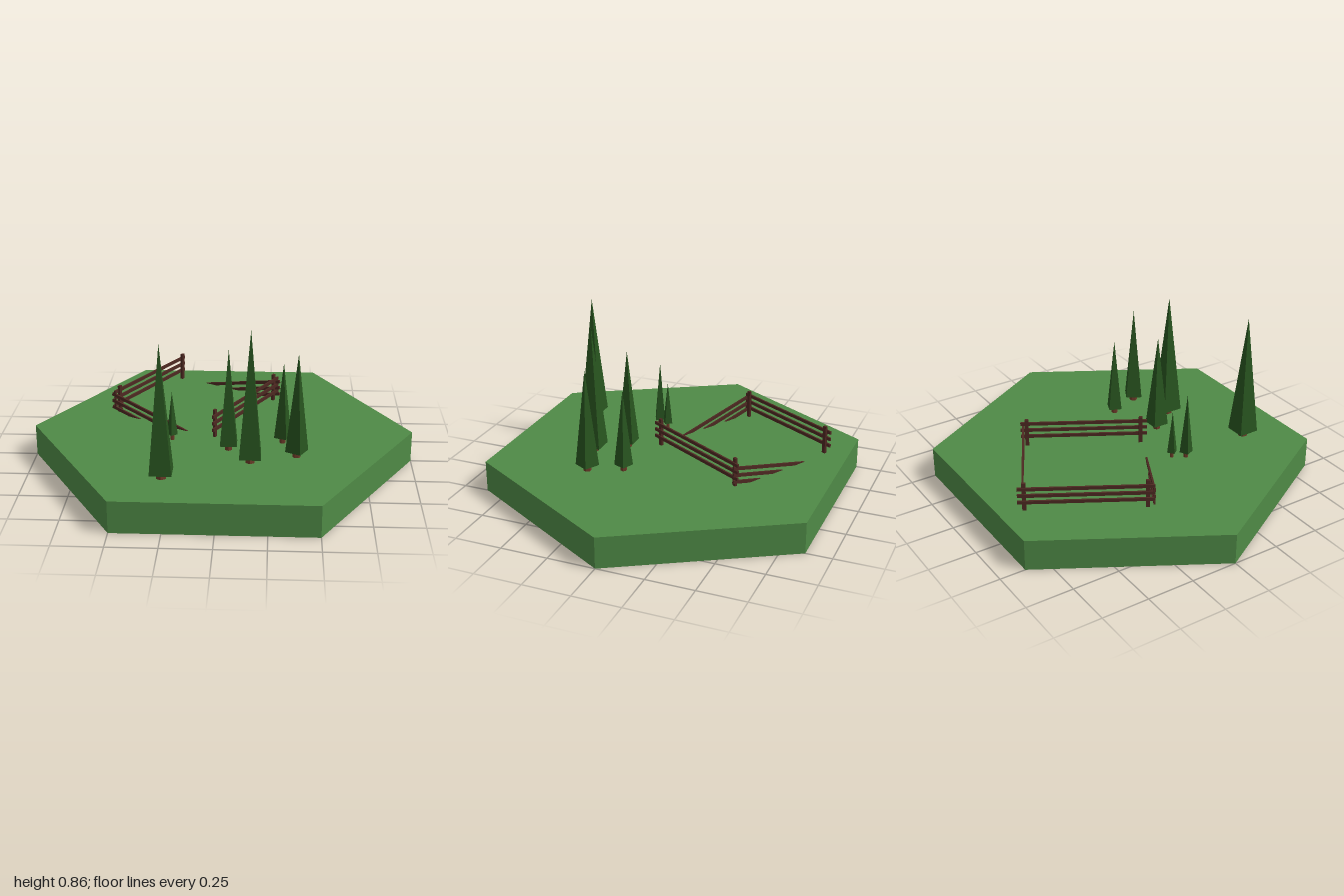
import * as THREE from 'three';

const GROUND = 0.165;
const mat = (color) => new THREE.MeshStandardMaterial({ color, flatShading: true });
const grass = mat(0x4f8a46), leaf = mat(0x28541f), bark = mat(0x6b3a28), wood = mat(0x4d2821);

function add(parent, name, geometry, material, x = 0, y = 0, z = 0) {
  const mesh = new THREE.Mesh(geometry, material);
  mesh.name = name;
  mesh.position.set(x, y, z);
  parent.add(mesh);
  return mesh;
}

// Four-sided conifer; half is half the width of the foliage base
function makeTree(x, z, top, half, turn) {
  const tree = new THREE.Group();
  tree.name = 'tree';
  const base = GROUND + 0.032, h = top - base;
  const foliage = new THREE.ConeGeometry(half * Math.SQRT2, h, 4).rotateY(Math.PI / 4);
  add(tree, 'foliage', foliage, leaf, 0, base + h / 2, 0);
  const trunk = new THREE.CylinderGeometry(half * 0.45, half * 0.5, 0.045, 6);
  add(tree, 'trunk', trunk, bark, 0, GROUND + 0.015, 0);
  tree.position.set(x, 0, z);
  tree.rotation.y = turn;
  return tree;
}

// One fence run of three rails along local x, starting at (x0, z0)
function makeRun(name, [x0, z0], [x1, z1], heights, tilt, length) {
  const run = new THREE.Group();
  run.name = name;
  for (const y of heights) {
    const rail = add(run, 'rail', new THREE.BoxGeometry(length, 0.017, 0.01).translate(length / 2, 0, 0), wood, 0, y, 0);
    rail.rotation.z = -tilt;
  }
  run.position.set(x0, 0, z0);
  run.rotation.y = -Math.atan2(z1 - z0, x1 - x0);
  return run;
}

// Standing run with two posts on its side facing the paddock
function makeStanding(a, b, side) {
  const length = Math.hypot(b[0] - a[0], b[1] - a[1]);
  const run = makeRun('standingFence', a, b, [0.213, 0.25, 0.287], 0, length);
  for (const d of [0.033, length - 0.035]) {
    add(run, 'post', new THREE.BoxGeometry(0.02, 0.16, 0.014), wood, d, 0.237, side * 0.009);
  }
  return run;
}

export function createModel() {
  const model = new THREE.Group();
  model.name = 'hexTile';

  // Hexagonal ground with corners on the x axis
  add(model, 'ground', new THREE.CylinderGeometry(1, 1, GROUND, 6).rotateY(Math.PI / 6), grass, 0, GROUND / 2, 0);

  // Trees: x, z, top, half width, turn
  const trees = [
    [-0.27, 0.605, 0.85, 0.055, 0],
    [0.155, 0.405, 0.857, 0.054, 0],
    [0.042, 0.257, 0.703, 0.043, 0],
    [0.317, 0.16, 0.6, 0.034, -0.4],
    [0.387, 0.332, 0.713, 0.043, -0.5],
    [-0.294, 0.212, 0.525, 0.025, 0.45],
    [-0.254, 0.15, 0.43, 0.02, 0.65],
  ];
  for (const t of trees) model.add(makeTree(...t));

  // Two standing fence runs
  model.add(makeStanding([-0.262, -0.77], [-0.597, -0.19], 1));
  model.add(makeStanding([0.289, -0.449], [-0.045, 0.134], -1));
  model.children.slice(-2).forEach((run) => {
    // Posts sit on the inner side of each run
    const inward = run.position.x < 0 ? 1 : -1;
    const dir = new THREE.Vector3(0, 0, 1).applyAxisAngle(new THREE.Vector3(0, 1, 0), run.rotation.y);
    for (const c of run.children) {
      if (c.name === 'post') c.position.z = 0.009 * Math.sign(dir.x * inward);
    }
  });

  // Collapsed runs that sink into the ground
  const sunk = [0.2, 0.237, 0.274];
  model.add(makeRun('collapsedFence', [-0.61, -0.203], [-0.24, 0.005], sunk, 0.235, 0.5));
  model.add(makeRun('collapsedFence', [0.3, -0.427], [-0.07, -0.637], sunk, 0.235, 0.5));
  return model;
}
